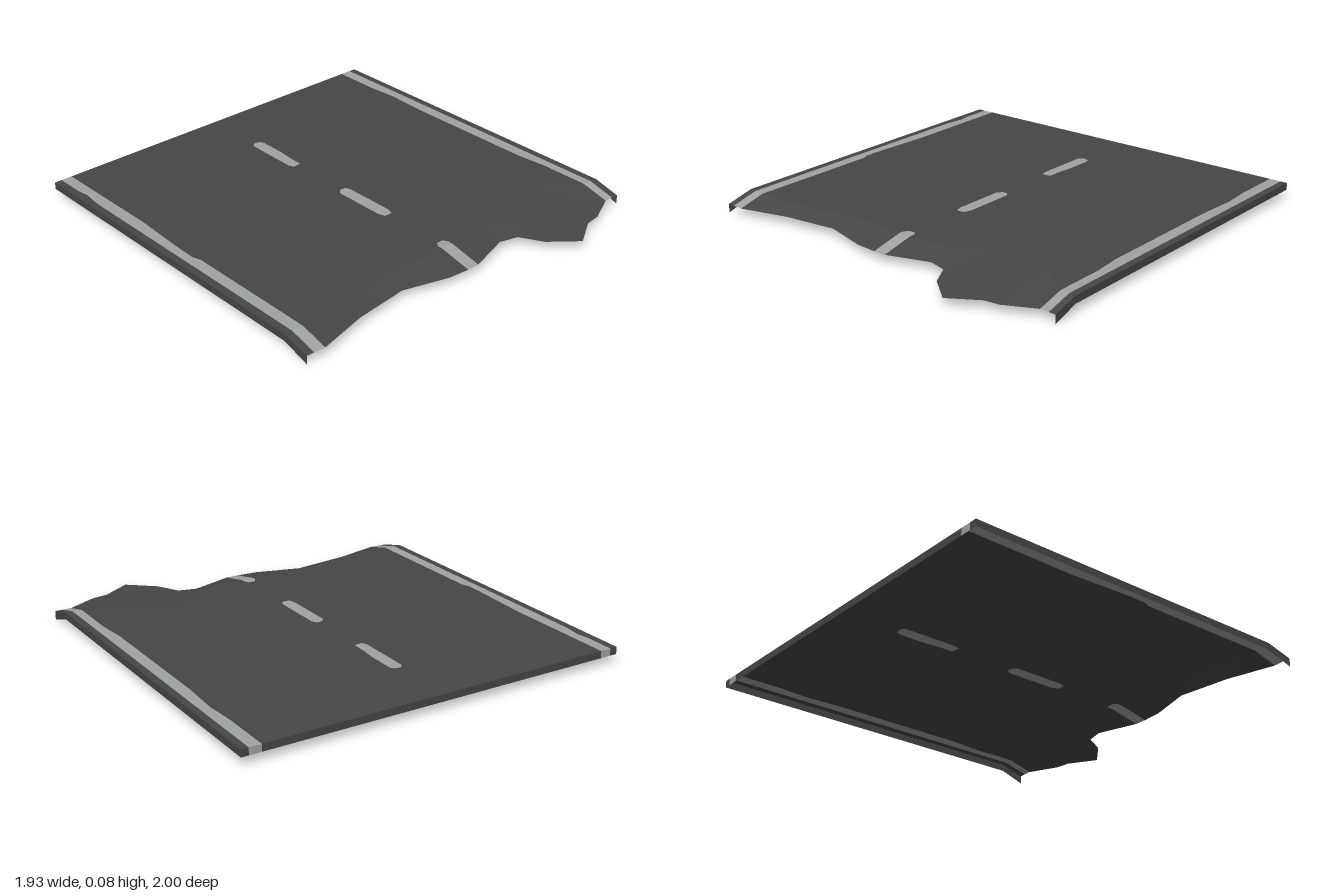
import * as THREE from 'three';

const TOP = 0.078, BASE = 0.043;
const LEFT = -0.967, RIGHT = 0.965;

// Front lip stations: [x, z of crease, z of broken edge, painted to the next station]
const LIP = [
  [LEFT, 0.69, 0.83], [-0.93, 0.695, 0.832, true], [-0.875, 0.70, 0.836],
  [-0.63, 0.70, 0.775], [-0.36, 0.645, 0.745], [-0.14, 0.65, 0.81],
  [-0.033, 0.66, 0.82, true], [0.03, 0.66, 0.82],
  [0.24, 0.64, 0.755], [0.33, 0.585, 0.78], [0.39, 0.50, 0.89],
  [0.52, 0.45, 1.0], [0.66, 0.53, 0.915], [0.74, 0.585, 0.905],
  [0.885, 0.70, 0.836, true], [0.93, 0.705, 0.838], [RIGHT, 0.71, 0.84],
];

// Painted line borders, listed from back to front as [x, z]
const LEFT_OUTER = [[-0.93, -1], [-0.93, -0.86], [-0.921, -0.79], [-0.932, -0.70], [-0.93, 0.695]];
const LEFT_INNER = [[-0.875, -1], [-0.872, -0.42], [-0.888, -0.10], [-0.888, -0.02], [-0.875, 0.02], [-0.875, 0.70]];
const RIGHT_INNER = [[0.872, -1], [0.872, -0.75], [0.883, -0.60], [0.872, -0.40], [0.872, 0.30], [0.886, 0.45], [0.885, 0.70]];
const RIGHT_OUTER = [[0.93, -1], [0.93, 0.705]];

// Centre dashes
const DASHES = [
  [[-0.03, -0.66], [-0.008, -0.677], [0.02, -0.67], [0.031, -0.65], [0.03, -0.51],
    [0.022, -0.44], [0.02, -0.36], [-0.022, -0.356], [-0.033, -0.385]],
  [[-0.032, -0.012], [-0.012, -0.034], [0.018, -0.034], [0.03, -0.008],
    [0.03, 0.25], [0.018, 0.285], [-0.022, 0.285], [-0.033, 0.25]],
];
const FRONT_DASH = [[-0.033, 0.66], [-0.033, 0.635], [-0.018, 0.612], [0.018, 0.612], [0.03, 0.635], [0.03, 0.66]];

const toVectors = (points) => points.map(([x, z]) => new THREE.Vector2(x, -z));

// Flat sheet at road level
function sheet(name, outline, material, holes = []) {
  const shape = new THREE.Shape(toVectors(outline));
  shape.holes = holes.map((h) => new THREE.Path(toVectors(h)));
  const mesh = new THREE.Mesh(new THREE.ShapeGeometry(shape).rotateX(-Math.PI / 2), material);
  mesh.position.y = TOP;
  mesh.name = name;
  return mesh;
}

// Bent sheet falling from the crease to the broken edge
function lip(materials) {
  const positions = [], index = [];
  const geometry = new THREE.BufferGeometry();
  LIP.forEach(([x, crease, edge, painted], i) => {
    positions.push(x, TOP, crease, x, BASE, edge);
    if (i === LIP.length - 1) return;
    const a = i * 2;
    geometry.addGroup(index.length, 6, painted ? 1 : 0);
    index.push(a, a + 1, a + 3, a, a + 3, a + 2);
  });
  geometry.setAttribute('position', new THREE.Float32BufferAttribute(positions, 3));
  geometry.setIndex(index);
  geometry.computeVertexNormals();
  const mesh = new THREE.Mesh(geometry, materials);
  mesh.name = 'brokenFrontLip';
  return mesh;
}

// Upright wall through stations [x, z, upper y, lower y]
function wall(name, stations, material) {
  const positions = [];
  for (let i = 0; i < stations.length - 1; i++) {
    const [x0, z0, u0, l0] = stations[i], [x1, z1, u1, l1] = stations[i + 1];
    positions.push(x0, u0, z0, x0, l0, z0, x1, l1, z1);
    positions.push(x0, u0, z0, x1, l1, z1, x1, u1, z1);
  }
  const geometry = new THREE.BufferGeometry();
  geometry.setAttribute('position', new THREE.Float32BufferAttribute(positions, 3));
  geometry.computeVertexNormals();
  const mesh = new THREE.Mesh(geometry, material);
  mesh.name = name;
  return mesh;
}

export function createModel() {
  const asphalt = new THREE.MeshStandardMaterial({ color: 0x464646, side: THREE.DoubleSide });
  asphalt.name = 'asphalt';
  const paint = new THREE.MeshStandardMaterial({ color: 0x9fa3a3, side: THREE.DoubleSide });
  paint.name = 'road paint';

  const road = new THREE.Group();
  road.name = 'brokenRoad';
  const reversed = (points) => [...points].reverse();

  // Main lane surface, notched around the front dash
  const crease = LIP.map(([x, z]) => [x, z]);
  const lane = [
    ...LEFT_INNER, ...crease.slice(3, 6), ...FRONT_DASH,
    ...crease.slice(8, 14), ...reversed(RIGHT_INNER),
  ];
  road.add(sheet('laneSurface', lane, asphalt, DASHES));

  // Shoulders and side lines
  road.add(sheet('rightShoulder', [[LEFT, -1], [LEFT, 0.69], ...reversed(LEFT_OUTER)], asphalt));
  road.add(sheet('leftShoulder', [...RIGHT_OUTER, [RIGHT, 0.71], [RIGHT, -1]], asphalt));
  road.add(sheet('rightSideLine', [...LEFT_OUTER, ...reversed(LEFT_INNER)], paint));
  road.add(sheet('leftSideLine', [...RIGHT_INNER, ...reversed(RIGHT_OUTER)], paint));

  // Centre line
  [...DASHES, FRONT_DASH].forEach((d, i) => road.add(sheet(`centreDash${i + 1}`, d, paint)));

  // Drooping broken end
  road.add(lip([asphalt, paint]));

  // Side walls, following the droop at the front
  const side = (x, creaseZ, edgeZ) => [
    [x, edgeZ, BASE, 0], [x, creaseZ, TOP, BASE], [x, -1, TOP, BASE],
  ];
  road.add(wall('leftWall', side(RIGHT, 0.71, 0.84), asphalt));
  road.add(wall('rightWall', side(LEFT, 0.69, 0.83).reverse(), asphalt));

  // Back wall, with the side lines carried over it
  const backX = [RIGHT, 0.93, 0.872, -0.875, -0.93, LEFT];
  for (let i = 0; i < 5; i++) {
    const ends = [backX[i], backX[i + 1]].map((x) => [x, -1, TOP, BASE]);
    road.add(wall(`backWall${i + 1}`, ends, i % 2 ? paint : asphalt));
  }
  return road;
}
